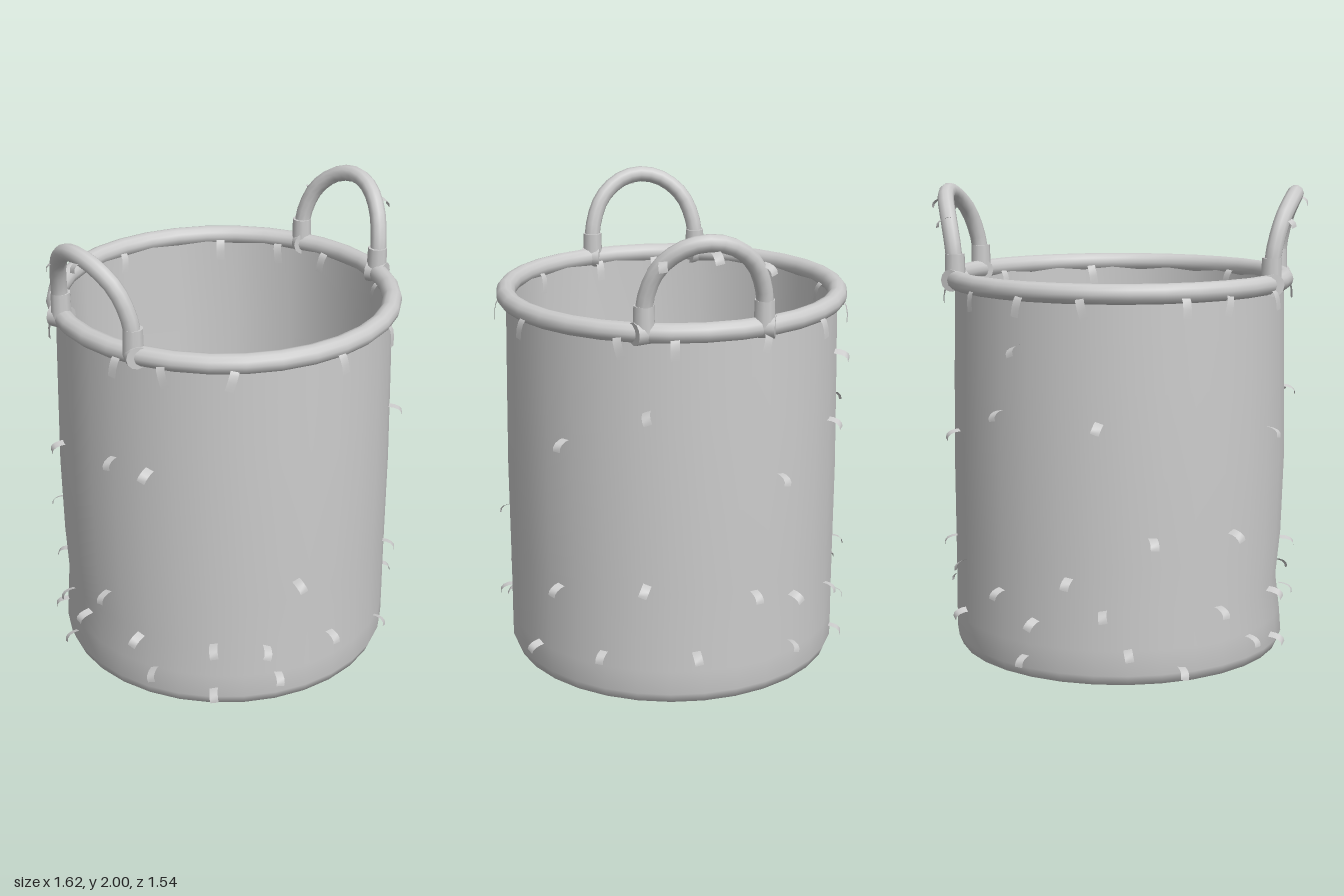
import * as THREE from 'three';

const V = (x, y, z) => new THREE.Vector3(x, y, z);
const P = (x, y) => new THREE.Vector2(x, y);

export function createModel() {
  const mat = new THREE.MeshStandardMaterial({ color: 0xcccccc });
  const thin = new THREE.MeshStandardMaterial({ color: 0xcccccc, side: THREE.DoubleSide });
  const model = new THREE.Group();
  model.name = 'basket';
  const basket = new THREE.Group();
  basket.name = 'wovenBody';
  basket.position.set(-0.013, 0, -0.005);
  model.add(basket);
  const add = (name, geo, parent = basket, material = mat) => {
    const m = new THREE.Mesh(geo, material);
    m.name = name;
    parent.add(m);
    return m;
  };

  // outer wall, slightly dented on the -x side near the bottom
  const outer = new THREE.LatheGeometry([
    P(0, 0), P(0.685, 0), P(0.705, 0.003), P(0.722, 0.045), P(0.722, 0.15), P(0.721, 0.3), P(0.721, 0.5),
    P(0.722, 0.85), P(0.716, 1.2), P(0.712, 1.4), P(0.708, 1.6)], 32);
  const p = outer.attributes.position;
  for (let i = 0; i < p.count; i++) {
    const x = p.getX(i), y = p.getY(i);
    const dent = 0.028 * Math.exp(-(((y - 0.32) / 0.17) ** 2)) * Math.max(0, -x / 0.72) ** 2;
    p.setX(i, x + dent);
  }
  add('outerWall', outer);

  // tapered inner wall and floor, with fewer sides
  add('innerWall', new THREE.LatheGeometry([
    P(0.685, 1.6), P(0.678, 1.2), P(0.655, 0.6), P(0.632, 0.07), P(0.625, 0.06), P(0.6, 0.06), P(0, 0.06)], 16));

  // rolled rim
  const rim = add('rim', new THREE.TorusGeometry(0.707, 0.041, 12, 32));
  rim.rotation.x = Math.PI / 2;
  rim.position.y = 1.6;

  // leaning arched handles with cuffs round their feet and the rim
  for (const s of [1, -1]) {
    const handle = new THREE.Group();
    handle.name = s > 0 ? 'leftHandle' : 'rightHandle';
    basket.add(handle);
    const half = [[0.665, 1.6, 0.24], [0.675, 1.73, 0.237], [0.705, 1.86, 0.19], [0.738, 1.938, 0.1]];
    const pts = [...half.map(([x, y, z]) => V(s * x, y, z)), V(s * 0.75, 1.962, 0),
      ...half.slice().reverse().map(([x, y, z]) => V(s * x, y, -z))];
    add('arch', new THREE.TubeGeometry(new THREE.CatmullRomCurve3(pts), 20, 0.035, 10), handle);
    for (const e of [1, -1]) {
      const foot = add('footCuff', new THREE.CylinderGeometry(0.041, 0.044, 0.11, 10), handle);
      foot.position.set(s * 0.667, 1.655, e * 0.24);
      const wrap = add('rimCuff', new THREE.CylinderGeometry(0.047, 0.047, 0.08, 12), handle);
      wrap.position.set(s * 0.665, 1.6, e * 0.245);
      wrap.rotation.set(Math.PI / 2, 0, -s * e * 0.35);
    }
  }

  // loose straw ends: a bent strip that sticks out and droops
  const strip = (width, out, drop) => {
    const g = new THREE.PlaneGeometry(width, 1, 1, 4), q = g.attributes.position;
    for (let i = 0; i < q.count; i++) {
      const t = 0.5 - q.getY(i);
      q.setXYZ(i, q.getX(i), -drop * t * t, out * Math.sin(t * 1.7));
    }
    g.computeVertexNormals();
    return g;
  };
  const wallStrip = strip(0.036, 0.06, 0.04), rimStrip = strip(0.036, 0.03, 0.09);
  const straw = (name, geo, deg, r, y, roll = 0, flip = 0) => {
    const a = THREE.MathUtils.degToRad(deg);
    const m = add(name, geo, basket, thin);
    m.position.set(r * Math.sin(a), y, r * Math.cos(a));
    m.rotation.set(0, a + flip, roll, 'YXZ');
    return m;
  };

  // [angle round the basket from the front, height]
  [[-65, 1.11], [42, 1.12], [-16, 0.59], [39, 0.47], [-44, 0.31], [-26, 0.29], [-2, 0.28], [-65, 0.15],
    [-22, 0.15], [-44, 0.09], [28, 0.16], [56, 0.22], [71, 1.28], [117, 0.97], [146, 1.11], [71, 0.54],
    [107, 0.48], [123, 0.42], [146, 0.36], [87, 0.24], [123, 0.2], [156, 0.1], [153, 1.38], [248, 1.01],
    [281, 1.12], [182, 1.09], [199, 0.62], [228, 0.61], [172, 0.45], [183, 0.32], [160, 0.26], [223, 0.3],
    [251, 0.3], [265, 0.28], [276, 0.45], [290, 0.3], [237, 0.14], [253, 0.09], [209, 0.07], [191, 0.16]]
    .forEach(([a, y], i) => straw('wallStraw', wallStrip, a, 0.712, y, ((i * 7) % 5 - 2) * 0.18));

  // straws hanging outside and inside the rim
  [-37, -2, 25, 62, 80, 110, 134, 156, 176, 209, 225, 247, 285, 300]
    .forEach((a, i) => straw('rimStraw', rimStrip, a, 0.727, 1.59, ((i * 3) % 5 - 2) * 0.15));
  [182, 141, 118, 97, 61, 20, -41, -71, -94]
    .forEach((a, i) => straw('innerStraw', rimStrip, a, 0.675, 1.59, (i % 3 - 1) * 0.15, Math.PI));

  // straws on the handles: [x, y, z, heading in degrees]
  [[0.69, 1.86, -0.22, 125], [0.755, 1.93, -0.02, 90], [0.72, 1.9, 0.17, 70],
    [-0.7, 1.87, -0.18, 240], [-0.74, 1.95, 0.04, 265]].forEach(([x, y, z, a]) => {
    const m = straw('handleStraw', wallStrip, a, 0, 0, 0.2);
    m.position.set(x, y, z);
  });
  return model;
}
